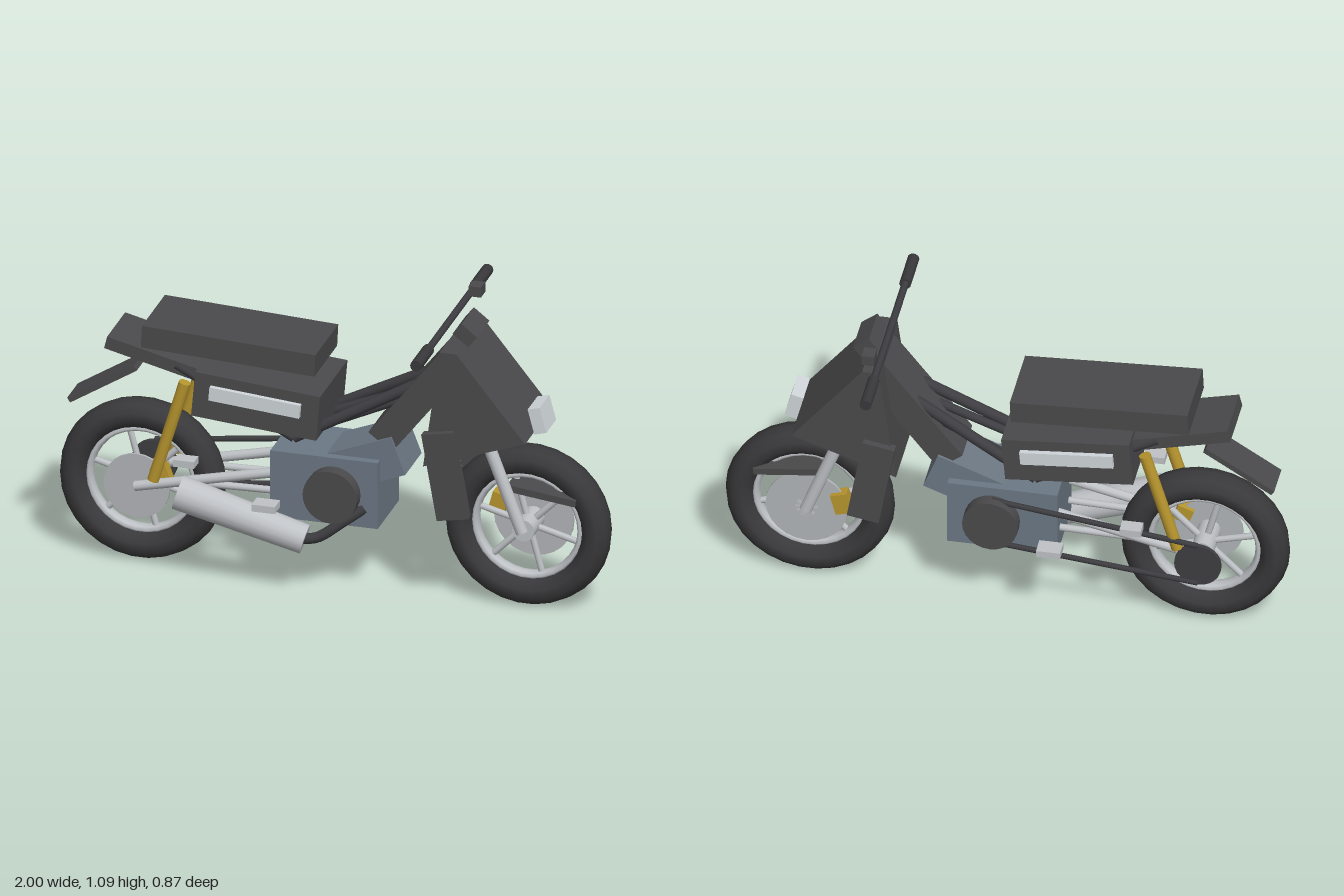
import * as THREE from 'three';

const mat = (name, color) => {
  const m = new THREE.MeshStandardMaterial({ color });
  m.name = name;
  return m;
};

export function createModel() {
  const bike = new THREE.Group();
  bike.name = 'motorcycle';
  const body = mat('charcoal plastic', 0x4a4a4c);
  const rubber = mat('black rubber', 0x39393b);
  const frameMat = mat('frame black', 0x3e3e42);
  const engineMat = mat('engine blue grey', 0x6c7884);
  const silver = mat('silver metal', 0xbfc2c6);
  const discMat = mat('brake steel', 0xb2b5b8);
  const gold = mat('gold metal', 0xb8962e);
  const lens = mat('pale lens', 0xd0d6da);

  const add = (name, geo, m, parent = bike) => {
    const mesh = new THREE.Mesh(geo, m);
    mesh.name = name;
    parent.add(mesh);
    return mesh;
  };
  // Box with a tilt (degrees) in the side plane
  const box = (name, m, size, pos, tilt = 0) => {
    const mesh = add(name, new THREE.BoxGeometry(...size), m);
    mesh.position.set(...pos);
    mesh.rotation.z = THREE.MathUtils.degToRad(tilt);
    return mesh;
  };
  // Round bar between two points
  const bar = (name, m, a, b, r, r2 = r, sides = 10, parent = bike) => {
    const p = new THREE.Vector3(...a), q = new THREE.Vector3(...b);
    const mesh = add(name, new THREE.CylinderGeometry(r2, r, p.distanceTo(q), sides), m, parent);
    mesh.position.copy(p).lerp(q, 0.5);
    mesh.quaternion.setFromUnitVectors(new THREE.Vector3(0, 1, 0), q.sub(p).normalize());
    return mesh;
  };
  // Disc across the bike
  const disc = (name, m, x, y, z, r, depth, parent = bike) =>
    bar(name, m, [x, y, z - depth / 2], [x, y, z + depth / 2], r, r, 24, parent);

  // Wheels: tyre, rim, hub and six spokes
  const makeWheel = (name, x) => {
    const wheel = new THREE.Group();
    wheel.name = name;
    wheel.position.set(x, 0.302, 0);
    bike.add(wheel);
    const tyreGeo = new THREE.TorusGeometry(0.247, 0.053, 10, 30).scale(1, 1, 1.22);
    add('tyre', tyreGeo, rubber, wheel);
    add('rim', new THREE.TorusGeometry(0.192, 0.014, 8, 30).scale(1, 1, 2), silver, wheel);
    disc('hub', silver, 0, 0, 0, 0.04, 0.14, wheel);
    for (let i = 0; i < 6; i++) {
      const a = Math.PI / 4 + i * Math.PI / 3;
      bar('spoke', silver, [0, 0, 0], [0.19 * Math.cos(a), 0.19 * Math.sin(a), 0], 0.012, 0.012, 8, wheel);
    }
  };
  makeWheel('rearWheel', -0.7);
  makeWheel('frontWheel', 0.7);

  // Brakes
  disc('frontBrakeDisc', discMat, 0.7, 0.302, -0.065, 0.145, 0.01);
  box('frontCaliper', gold, [0.06, 0.08, 0.045], [0.575, 0.34, -0.065], -15);
  disc('rearBrakeDisc', discMat, -0.7, 0.302, 0.075, 0.12, 0.01);
  box('rearCaliper', gold, [0.06, 0.06, 0.04], [-0.61, 0.36, 0.075], 20);

  // Engine with angled cylinder and round side covers
  box('engineBlock', engineMat, [0.39, 0.25, 0.26], [-0.005, 0.395, 0]);
  box('engineCylinder', engineMat, [0.3, 0.145, 0.2], [0.115, 0.488, 0], 21);
  disc('engineCovers', body, 0.03, 0.39, 0, 0.098, 0.36);

  // Chain and rear sprocket
  disc('rearSprocket', frameMat, -0.7, 0.302, -0.14, 0.083, 0.015);
  bar('upperChain', frameMat, [-0.7, 0.385, -0.145], [0.03, 0.48, -0.145], 0.01, 0.01, 6);
  bar('lowerChain', frameMat, [-0.7, 0.225, -0.145], [0.03, 0.3, -0.145], 0.01, 0.01, 6);

  // Exhaust
  bar('muffler', silver, [-0.515, 0.35, 0.195], [-0.065, 0.212, 0.16], 0.062, 0.053, 16);
  const bend = new THREE.CatmullRomCurve3([
    new THREE.Vector3(-0.08, 0.212, 0.16), new THREE.Vector3(-0.02, 0.225, 0.158),
    new THREE.Vector3(0.07, 0.29, 0.145), new THREE.Vector3(0.14, 0.34, 0.12)]);
  add('exhaustPipe', new THREE.TubeGeometry(bend, 16, 0.019, 10), frameMat);

  // Parts mirrored left and right
  for (const s of [-1, 1]) {
    bar('frontFork', silver, [0.7, 0.302, s * 0.085], [0.46, 0.93, s * 0.085], 0.022, 0.022, 12);
    bar('rearShock', gold, [-0.625, 0.355, s * 0.13], [-0.51, 0.74, s * 0.13], 0.021, 0.021, 12);
    bar('swingarm', silver, [-0.7, 0.31, s * 0.1], [-0.13, 0.44, s * 0.1], 0.018);
    bar('swingarmBrace', silver, [-0.55, 0.34, s * 0.08], [-0.13, 0.35, s * 0.08], 0.013);
    bar('mainFrameRail', frameMat, [0.42, 0.865, s * 0.045], [-0.12, 0.572, s * 0.11], 0.02);
    bar('innerFrameRail', frameMat, [0.4, 0.8, s * 0.03], [-0.12, 0.572, s * 0.07], 0.016);
    bar('seatRail', frameMat, [-0.12, 0.57, s * 0.11], [-0.55, 0.79, s * 0.1], 0.016);
    box('sideShroud', body, [0.115, 0.325, 0.035], [0.45, 0.525, s * 0.172], 10);
    box('sideStripe', lens, [0.33, 0.05, 0.02], [-0.242, 0.718, s * 0.176], -5);
    box('riderPeg', silver, [0.085, 0.026, 0.065], [-0.19, 0.348, s * 0.218]);
    box('passengerPeg', silver, [0.075, 0.026, 0.055], [-0.48, 0.48, s * 0.218]);
    bar('grip', rubber, [0.42, 1.047, s * 0.285], [0.42, 1.047, s * 0.437], 0.021, 0.021, 12);
  }

  // Bodywork
  box('seat', body, [0.63, 0.082, 0.28], [-0.35, 0.882, 0], -3);
  box('sidePanels', body, [0.455, 0.168, 0.335], [-0.242, 0.698, 0], -5);
  box('tail', body, [0.45, 0.046, 0.22], [-0.585, 0.792, 0], -14);
  box('rearFender', body, [0.285, 0.02, 0.13], [-0.83, 0.665, 0], 32);
  box('frontFender', body, [0.25, 0.025, 0.145], [0.765, 0.443, 0], -7);
  box('steeringColumn', body, [0.45, 0.107, 0.18], [0.325, 0.76, 0], 52);

  // Front cowl, extruded across the bike from its side outline
  const outline = [[0.425, 0.985], [0.485, 0.985], [0.735, 0.675], [0.365, 0.545]];
  const cowlShape = new THREE.Shape(outline.map(([x, y]) => new THREE.Vector2(x, y)));
  const cowlGeo = new THREE.ExtrudeGeometry(cowlShape, { depth: 0.33, bevelEnabled: false });
  add('frontCowl', cowlGeo.translate(0, 0, -0.165), body);
  box('headlight', lens, [0.045, 0.095, 0.12], [0.747, 0.72, 0], 15);

  // Controls
  box('instruments', body, [0.072, 0.052, 0.152], [0.49, 1.02, 0], -38);
  bar('handlebar', frameMat, [0.42, 1.047, -0.43], [0.42, 1.047, 0.43], 0.013);
  box('switchBox', body, [0.045, 0.038, 0.054], [0.453, 1.078, -0.196]);

  return bike;
}
